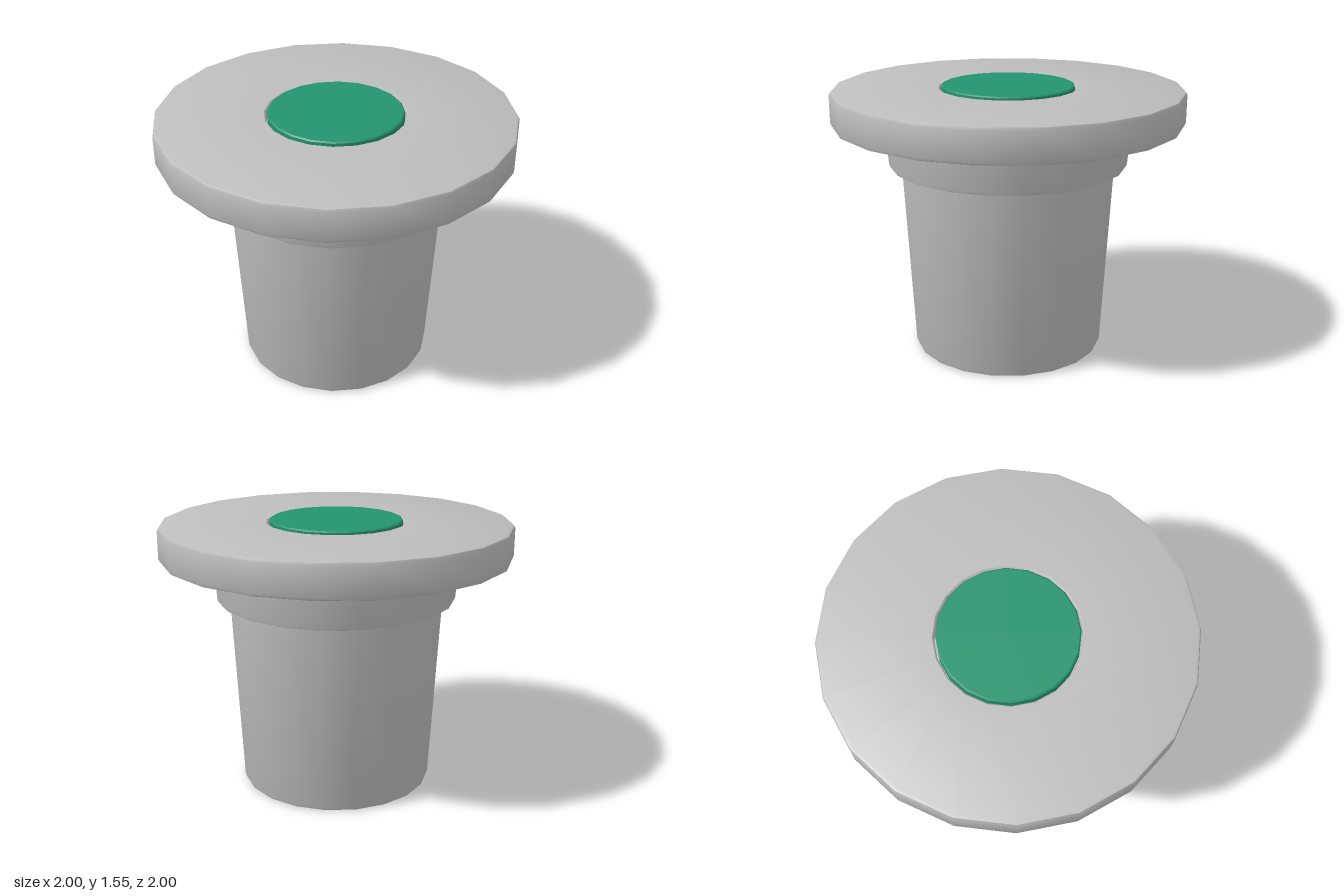
import * as THREE from 'three';
import { toCreasedNormals } from 'three/addons/utils/BufferGeometryUtils.js';

const SIDES = 20;

// Turns a profile of [radius, height] points into a solid with crisp steps and smooth sides
function turned(name, profile, material) {
  const points = profile.map(([r, y]) => new THREE.Vector2(r, y));
  const geometry = toCreasedNormals(new THREE.LatheGeometry(points, SIDES), 0.6);
  const mesh = new THREE.Mesh(geometry, material);
  mesh.name = name;
  return mesh;
}

export function createModel() {
  const grey = new THREE.MeshStandardMaterial({ color: 0xbdbdbd });
  grey.name = 'light grey';
  const green = new THREE.MeshStandardMaterial({ color: 0x24936f });
  green.name = 'green';

  const model = new THREE.Group();
  model.name = 'flangedPlug';

  model.add(turned('body', [
    // hollow underside
    [0, 1.35], [0.52, 1.35], [0.465, 0],
    // tapered stem
    [0.54, 0], [0.55, 0.005], [0.556, 0.02], [0.612, 1.1],
    // collar
    [0.67, 1.1], [0.68, 1.104], [0.684, 1.115], [0.702, 1.345],
    // flange
    [0.98, 1.345], [0.993, 1.35], [1, 1.365], [1, 1.52], [0.994, 1.534], [0.98, 1.54],
    // recess in the top
    [0.395, 1.54], [0.387, 1.53], [0.387, 1.48], [0, 1.48],
  ], grey));

  model.add(turned('topDisc', [
    [0, 1.481], [0.378, 1.481], [0.378, 1.548], [0.37, 1.555], [0, 1.555],
  ], green));

  return model;
}
